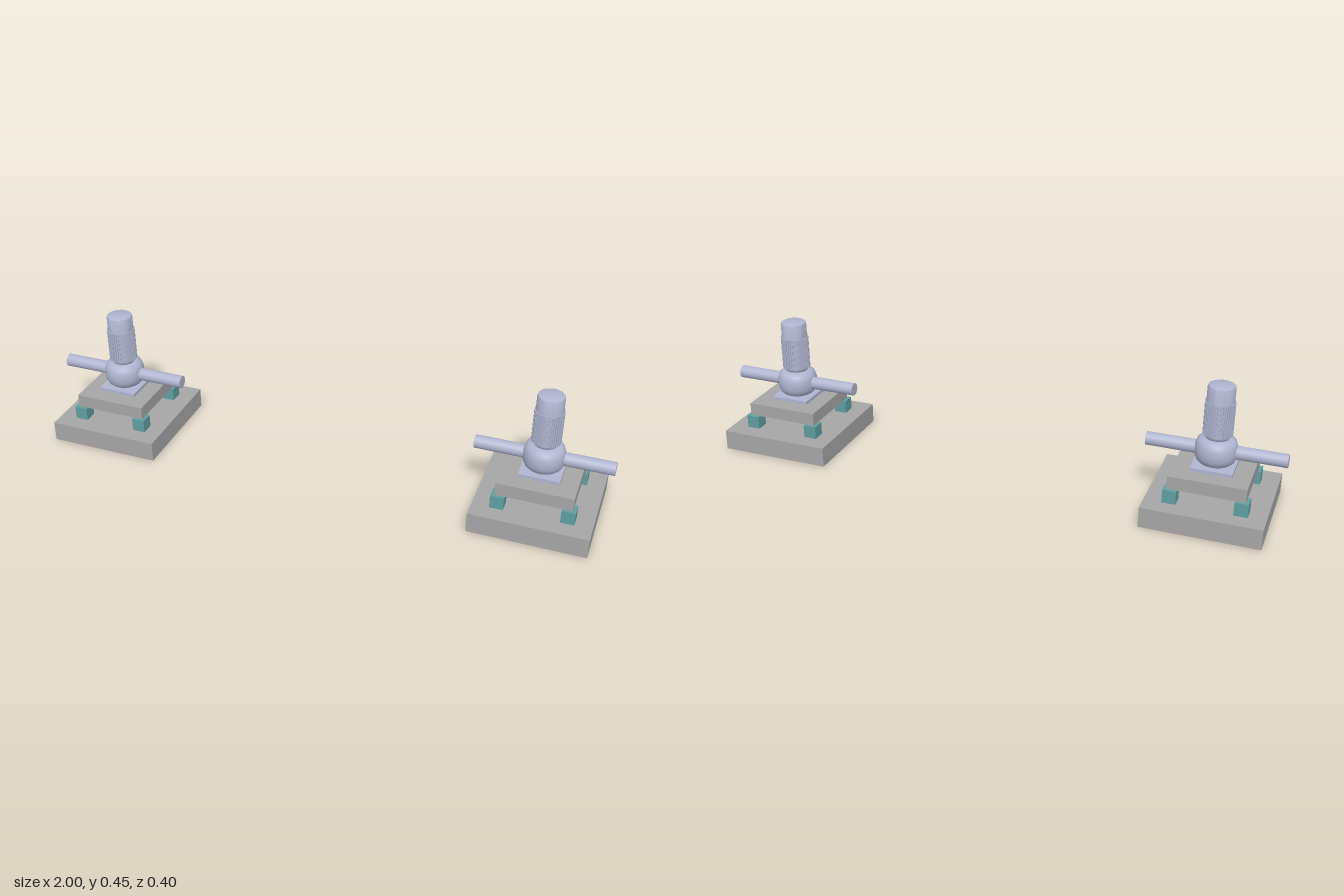
import * as THREE from 'three';
import { toCreasedNormals } from 'three/addons/utils/BufferGeometryUtils.js';

const concrete = new THREE.MeshStandardMaterial({ name: 'concrete grey', color: 0xa6a6a6 });
const rubber = new THREE.MeshStandardMaterial({ name: 'isolator teal', color: 0x5f9ea0 });
const steel = new THREE.MeshStandardMaterial({ name: 'steel lavender', color: 0xb0b5d0 });

function add(parent, name, geometry, material, x = 0, y = 0, z = 0) {
  const mesh = new THREE.Mesh(geometry, material);
  mesh.name = name;
  mesh.position.set(x, y, z);
  parent.add(mesh);
  return mesh;
}

// Square slab between two heights
function slab(parent, name, width, y0, y1, material, x = 0, z = 0) {
  return add(parent, name, new THREE.BoxGeometry(width, y1 - y0, width), material, x, (y0 + y1) / 2, z);
}

// Turned body from [radius, height] pairs, listed bottom to top
function turned(points, crease) {
  const profile = points.map(([r, y]) => new THREE.Vector2(r, y));
  return toCreasedNormals(new THREE.LatheGeometry(profile, 32), crease);
}

// Toothed outline extruded upwards as cooling fins
function finGeometry(count, inner, outer, height) {
  const shape = new THREE.Shape();
  const step = (Math.PI * 2) / count;
  for (let i = 0; i < count; i++) {
    [[0, inner], [0.5, inner], [0.5, outer], [1, outer]].forEach(([t, r], k) => {
      const a = (i + t) * step;
      const x = Math.cos(a) * r, y = Math.sin(a) * r;
      if (i === 0 && k === 0) shape.moveTo(x, y);
      else shape.lineTo(x, y);
    });
  }
  shape.closePath();
  const geometry = new THREE.ExtrudeGeometry(shape, { depth: height, bevelEnabled: false });
  return geometry.rotateX(-Math.PI / 2);
}

function createPump() {
  const pump = new THREE.Group();

  // Foundation, isolators and inertia block
  slab(pump, 'foundation', 0.396, 0, 0.071, concrete);
  for (const x of [-1, 1]) {
    for (const z of [-1, 1]) {
      slab(pump, 'isolator', 0.046, 0.071, 0.117, rubber, x * 0.116, z * 0.116);
    }
  }
  slab(pump, 'inertiaBlock', 0.256, 0.117, 0.163, concrete);
  slab(pump, 'mountingPlate', 0.138, 0.163, 0.175, steel);

  // Rounded pump casing
  add(pump, 'casing', turned([
    [0, 0.174], [0.042, 0.175], [0.054, 0.181], [0.063, 0.19], [0.069, 0.205], [0.07, 0.222],
    [0.069, 0.239], [0.063, 0.257], [0.054, 0.264], [0.042, 0.268], [0, 0.269],
  ], 0.7), steel);

  // Straight pipe through the casing
  const pipe = add(pump, 'pipe', new THREE.CylinderGeometry(0.0225, 0.0225, 0.462, 32), steel, 0, 0.222, 0);
  pipe.rotation.z = Math.PI / 2;

  // Motor: neck and cap in one turned body, with fins around it
  add(pump, 'motor', turned([
    [0, 0.266], [0.038, 0.267], [0.043, 0.274], [0.045, 0.28], [0.045, 0.444],
    [0.043, 0.449], [0.037, 0.452], [0, 0.452],
  ], 0.7), steel);
  add(pump, 'coolingFins', finGeometry(40, 0.0452, 0.049, 0.115), steel, 0, 0.28, 0);
  return pump;
}

export function createModel() {
  const model = new THREE.Group();
  model.name = 'pumpPair';
  for (const side of [-1, 1]) {
    const pump = createPump();
    pump.name = side < 0 ? 'rightPump' : 'leftPump';
    pump.position.x = side * 0.769;
    model.add(pump);
  }
  return model;
}
